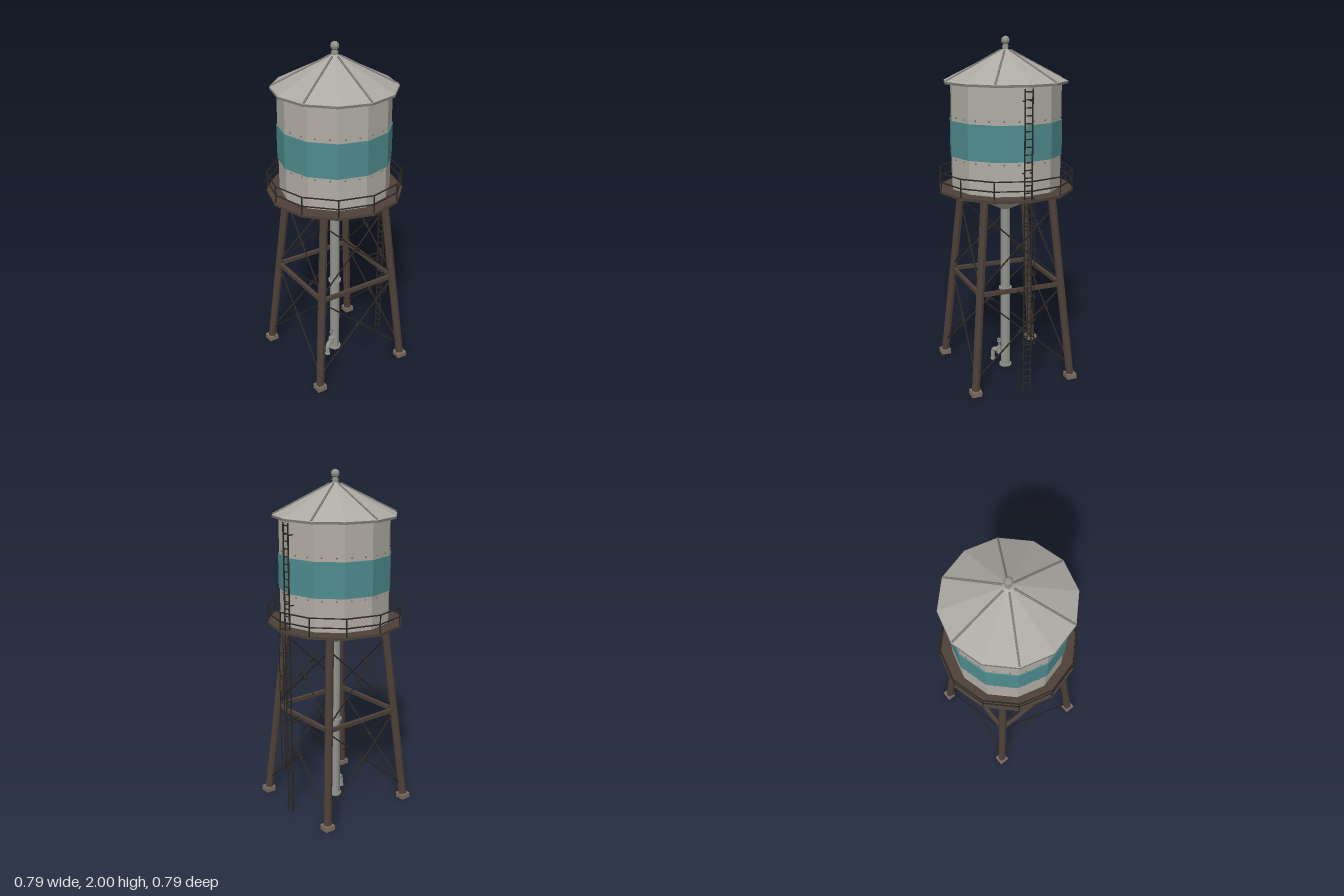
import * as THREE from 'three';
import { toCreasedNormals } from 'three/addons/utils/BufferGeometryUtils.js';

const paint = (name, color) => {
  const m = new THREE.MeshStandardMaterial({ color });
  m.name = name;
  return m;
};
const tankGrey = paint('tank grey', 0xb2ada5);
const roofGrey = paint('roof grey', 0xadaaa4);
const trimGrey = paint('trim grey', 0x7c7b77);
const pipeGrey = paint('pipe grey', 0x92928d);
const teal = paint('band teal', 0x4f8b8e);
const brown = paint('steel brown', 0x4d4038);
const dark = paint('dark iron', 0x2b2624);
const stone = paint('footing tan', 0x7d6c60);

const V = (x, y, z) => new THREE.Vector3(x, y, z);
const polar = (r, a, y) => V(Math.sin(a) * r, y, Math.cos(a) * r);

function add(parent, name, geo, mat, pos) {
  const mesh = new THREE.Mesh(toCreasedNormals(geo, 0.1), mat);
  mesh.name = name;
  if (pos) mesh.position.copy(pos);
  parent.add(mesh);
  return mesh;
}

// vertical prism between two heights
function drum(parent, name, rTop, rBottom, y0, y1, mat, sides = 12, x = 0, z = 0) {
  return add(parent, name, new THREE.CylinderGeometry(rTop, rBottom, y1 - y0, sides), mat, V(x, (y0 + y1) / 2, z));
}

// straight bar between two points
function bar(parent, name, a, b, r, mat, sides = 6) {
  const d = b.clone().sub(a);
  const mesh = add(parent, name, new THREE.CylinderGeometry(r, r, d.length(), sides), mat, a.clone().lerp(b, 0.5));
  mesh.quaternion.setFromUnitVectors(V(0, 1, 0), d.normalize());
  return mesh;
}

function group(parent, name) {
  const g = new THREE.Group();
  g.name = name;
  parent.add(g);
  return g;
}

const legAt = (y) => 0.298 - 0.0864 * (y - 0.03);

function buildTank(model) {
  const tank = group(model, 'tank');
  drum(tank, 'tankWall', 0.32, 0.32, 1.15, 1.75, tankGrey);
  drum(tank, 'tankBottom', 0.32, 0.03, 1.01, 1.15, tankGrey);
  drum(tank, 'paintedBand', 0.326, 0.326, 1.34, 1.54, teal);
  // rivet rows above and below the band
  for (const y of [1.325, 1.56]) {
    for (let i = 0; i < 24; i++) {
      const a = ((i + 0.5) * Math.PI) / 12;
      add(tank, 'rivet', new THREE.SphereGeometry(0.006, 6, 4), trimGrey, polar(0.312, a, y));
    }
  }
  // roof, ribs and finial
  const roof = group(model, 'roof');
  drum(roof, 'roofRim', 0.357, 0.357, 1.743, 1.756, trimGrey);
  drum(roof, 'roofCone', 0.015, 0.355, 1.756, 1.928, roofGrey);
  for (let i = 0; i < 6; i++) {
    const a = (i * Math.PI) / 3;
    bar(roof, 'roofRib', polar(0.03, a, 1.922), polar(0.35, a, 1.76), 0.006, trimGrey);
  }
  drum(roof, 'finialStem', 0.014, 0.018, 1.92, 1.96, pipeGrey, 8);
  drum(roof, 'finialCollar', 0.02, 0.02, 1.938, 1.945, pipeGrey, 8);
  add(roof, 'finialBall', new THREE.SphereGeometry(0.025, 8, 6), pipeGrey, V(0, 1.975, 0));
}

function buildPlatform(model) {
  const deck = group(model, 'platform');
  // ring deck with a ladder hatch
  const ring = (r) => Array.from({ length: 12 }, (_, i) =>
    new THREE.Vector2(Math.cos((i * Math.PI) / 6) * r, Math.sin((i * Math.PI) / 6) * r));
  const shape = new THREE.Shape(ring(0.396));
  shape.holes.push(new THREE.Path(ring(0.31)));
  shape.holes.push(new THREE.Path([[0.335, -0.034], [0.379, -0.034], [0.379, 0.034], [0.335, 0.034]]
    .map(([x, y]) => new THREE.Vector2(x, y))));
  const geo = new THREE.ExtrudeGeometry(shape, { depth: 0.015, bevelEnabled: false });
  geo.rotateX(-Math.PI / 2);
  add(deck, 'deck', geo, brown, V(0, 1.13, 0));
  // railing and brackets
  for (let i = 0; i < 12; i++) {
    const a = (i * Math.PI) / 6, b = a + Math.PI / 6;
    bar(deck, 'railPost', polar(0.39, a, 1.14), polar(0.39, a, 1.25), 0.004, dark);
    for (const y of [1.195, 1.248]) {
      bar(deck, 'rail', polar(0.39, a, y), polar(0.39, b, y), 0.004, dark);
    }
    bar(deck, 'deckBracket', polar(0.38, a, 1.13), polar(0.235, a, 1.108), 0.006, brown);
  }
}

function buildTower(model) {
  const tower = group(model, 'tower');
  for (let k = 0; k < 4; k++) {
    const side = group(tower, 'towerSide');
    side.rotation.y = (k * Math.PI) / 2;
    const at = (s, y) => V(s * legAt(y), y, legAt(y));
    // leg and footing
    bar(side, 'leg', at(1, 0.02), at(1, 1.135), 0.024, brown, 8);
    add(side, 'footing', new THREE.BoxGeometry(0.06, 0.03, 0.06), stone, V(0.3, 0.015, 0.3));
    // girt
    add(side, 'girt', new THREE.BoxGeometry(0.5, 0.022, 0.022), brown, V(0, 0.585, legAt(0.585)));
    // crossed tie rods with turnbuckles
    for (const [y0, y1] of [[0.09, 0.57], [0.61, 1.04]]) {
      for (const s of [-1, 1]) {
        const a = at(s, y0), b = at(-s, y1);
        bar(side, 'tieRod', a, b, 0.0045, dark);
        bar(side, 'turnbuckle', a.clone().lerp(b, 0.5), a.clone().lerp(b, 0.55), 0.01, dark);
      }
    }
  }
}

function buildPipe(model) {
  const pipe = group(model, 'standpipe');
  drum(pipe, 'riser', 0.029, 0.029, 0, 1.02, pipeGrey, 12);
  drum(pipe, 'baseFlange', 0.038, 0.038, 0, 0.012, pipeGrey, 12);
  drum(pipe, 'middleFlange', 0.04, 0.04, 0.505, 0.517, pipeGrey, 12);
  // drain spout with hand wheel
  const drain = group(pipe, 'drain');
  drain.rotation.y = Math.PI / 6;
  const path = new THREE.CurvePath();
  path.add(new THREE.LineCurve3(V(0, 0.08, 0), V(-0.075, 0.08, 0)));
  path.add(new THREE.QuadraticBezierCurve3(V(-0.075, 0.08, 0), V(-0.1, 0.08, 0), V(-0.1, 0.055, 0)));
  path.add(new THREE.LineCurve3(V(-0.1, 0.055, 0), V(-0.1, 0.008, 0)));
  const spout = add(drain, 'spout', new THREE.TubeGeometry(path, 18, 0.014, 8), pipeGrey);
  spout.geometry.computeBoundingSphere();
  drum(drain, 'spoutLip', 0.017, 0.017, 0.006, 0.016, pipeGrey, 8, -0.1);
  drum(drain, 'valveBody', 0.017, 0.017, 0.062, 0.105, pipeGrey, 8, -0.05);
  drum(drain, 'valveStem', 0.005, 0.005, 0.1, 0.15, pipeGrey, 6, -0.05);
  add(drain, 'valveWheel', new THREE.TorusGeometry(0.013, 0.005, 6, 10), trimGrey, V(-0.05, 0.147, 0));
}

function buildLadder(model) {
  const ladder = group(model, 'ladder');
  const x = 0.343;
  for (const s of [-1, 1]) {
    const z = s * 0.022;
    bar(ladder, 'ladderRail', V(x, 0, z), V(x, 1.735, z), 0.0045, dark);
    bar(ladder, 'cageBar', V(0.388, 0.3, z * 0.9), V(0.388, 1.135, z * 0.9), 0.003, dark);
    // stand-offs to the tank wall and girt
    for (const y of [1.28, 1.67]) bar(ladder, 'standOff', V(0.31, y, z), V(x, y, z), 0.004, dark);
    bar(ladder, 'standOff', V(0.25, 0.585, z), V(x, 0.585, z), 0.004, dark);
  }
  for (let y = 0.04; y < 1.73; y += 0.042) {
    bar(ladder, 'rung', V(x, y, -0.022), V(x, y, 0.022), 0.0035, dark);
  }
  // safety cage hoops
  const hoop = [[0, -0.022], [0.012, -0.034], [0.034, -0.034], [0.046, -0.018],
    [0.046, 0.018], [0.034, 0.034], [0.012, 0.034], [0, 0.022]];
  for (let i = 0; i < 7; i++) {
    const y = 0.303 + i * 0.1395;
    for (let j = 0; j < 7; j++) {
      const [a, b] = [hoop[j], hoop[j + 1]];
      bar(ladder, 'cageHoop', V(x + a[0], y, a[1]), V(x + b[0], y, b[1]), 0.0035, dark);
    }
  }
}

export function createModel() {
  const model = new THREE.Group();
  model.name = 'waterTower';
  buildTank(model);
  buildPlatform(model);
  buildTower(model);
  buildPipe(model);
  buildLadder(model);
  return model;
}
